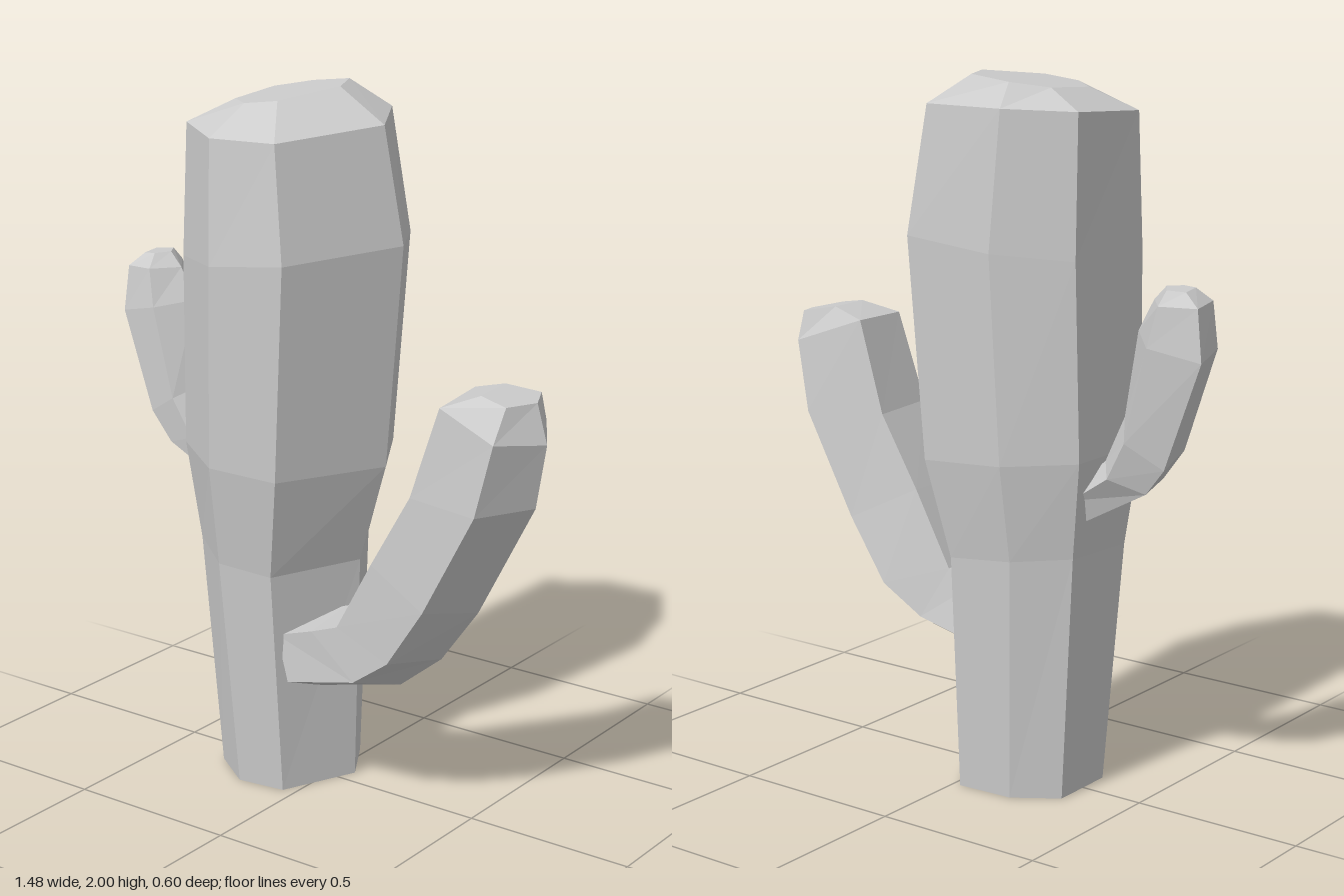
import * as THREE from 'three';

const material = new THREE.MeshStandardMaterial({ color: 0xcccccc, flatShading: true });

// Skin a stack of equal-length rings (counterclockwise seen from the far end), closed at both ends
function loft(name, rings) {
  const n = rings[0].length;
  const pos = [];
  const tri = (a, b, c) => pos.push(...a, ...b, ...c);
  const middle = (ring) => [0, 1, 2].map((k) => ring.reduce((s, p) => s + p[k], 0) / n);
  const last = rings[rings.length - 1];
  const start = middle(rings[0]), end = middle(last);
  for (let j = 0; j < n; j++) {
    const k = (j + 1) % n;
    for (let i = 0; i + 1 < rings.length; i++) {
      tri(rings[i][j], rings[i][k], rings[i + 1][k]);
      tri(rings[i][j], rings[i + 1][k], rings[i + 1][j]);
    }
    tri(start, rings[0][k], rings[0][j]);
    tri(end, last[j], last[k]);
  }
  const geometry = new THREE.BufferGeometry();
  geometry.setAttribute('position', new THREE.Float32BufferAttribute(pos, 3));
  geometry.computeVertexNormals();
  const mesh = new THREE.Mesh(geometry, material);
  mesh.name = name;
  return mesh;
}

// Arm: each station gives its outer point, inner point, z centre and half depth;
// the profile gives t (0 outer, 1 inner) and v (-1 back, 1 front)
function arm(name, profile, stations) {
  return loft(name, stations.map(([ox, oy, ix, iy, zc, zr]) =>
    profile.map(([t, v]) => [ox + (ix - ox) * t, oy + (iy - oy) * t, zc + zr * v])));
}

export function createModel() {
  const group = new THREE.Group();
  group.name = 'cactus';

  // Seven-sided trunk; rings are x centre, y, z centre, half width, half depth, y tilt along x, y tilt along z
  const heptagon = [[-1, 0.53], [-0.3, 1], [0.47, 0.9], [1, -0.25], [0.55, -1], [-0.35, -0.95], [-1, -0.52]];
  const trunkRings = [
    [-0.125, 0, -0.005, 0.185, 0.19, 0, 0],
    [-0.142, 0.68, 0, 0.213, 0.235, -0.02, -0.01],
    [-0.12, 0.965, 0, 0.27, 0.28, -0.015, 0],
    [-0.09, 1.555, 0, 0.29, 0.298, 0.03, 0],
    [-0.117, 1.905, 0, 0.257, 0.268, 0, -0.018],
    [-0.14, 1.98, -0.03, 0.13, 0.165, 0.016, -0.011],
  ];
  group.add(loft('trunk', trunkRings.map(([cx, y, cz, rx, rz, tx, tz]) =>
    heptagon.map(([u, v]) => [cx + rx * u, y + tx * u + tz * v, cz + rz * v]))));

  // Large low arm
  group.add(arm('leftArm',
    [[0, -0.15], [0.28, -1], [1, -0.6], [0.92, 0.88], [0.25, 1]],
    [
      [0.01, 0.3, -0.06, 0.49, 0.07, 0.11],
      [0.29, 0.37, 0.06, 0.535, 0.07, 0.13],
      [0.42, 0.475, 0.15, 0.565, 0.065, 0.145],
      [0.54, 0.64, 0.27, 0.78, 0.07, 0.15],
      [0.71, 0.97, 0.39, 0.985, 0.067, 0.152],
      [0.74, 1.15, 0.475, 1.25, 0.065, 0.137],
      [0.7, 1.255, 0.575, 1.278, 0.045, 0.09],
    ]));

  // Small high arm
  group.add(arm('rightArm',
    [[0, -0.6], [0.2, 1], [0.65, 1], [1, 0.1], [0.6, -1]],
    [
      [-0.34, 0.79, -0.33, 0.91, -0.04, 0.06],
      [-0.57, 0.915, -0.4, 0.97, -0.045, 0.085],
      [-0.63, 0.99, -0.46, 1.1, -0.045, 0.095],
      [-0.74, 1.29, -0.5, 1.34, -0.045, 0.097],
      [-0.72, 1.43, -0.55, 1.43, -0.045, 0.08],
      [-0.67, 1.465, -0.59, 1.47, -0.045, 0.045],
    ]));

  return group;
}
